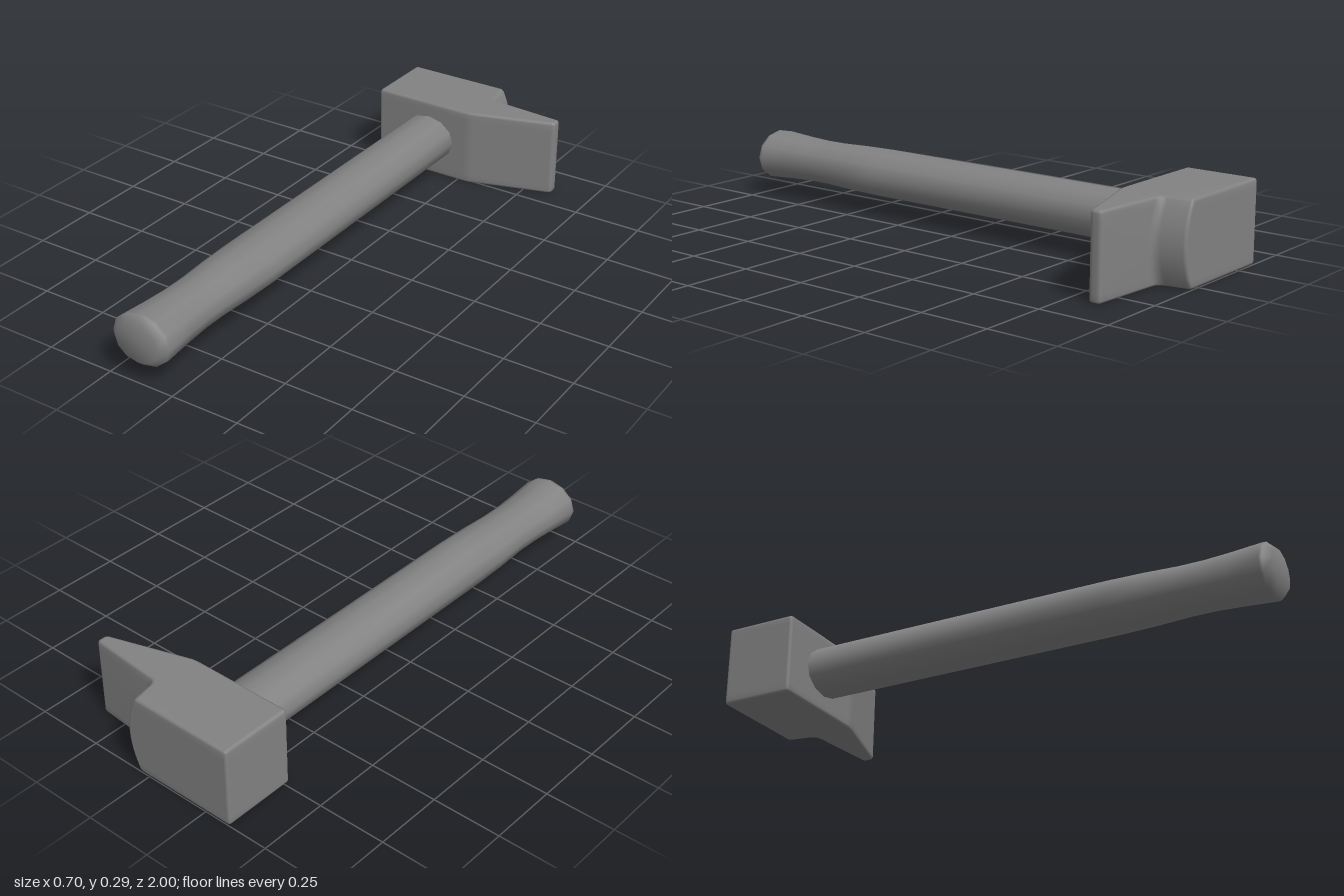
import * as THREE from 'three';
import { mergeVertices } from 'three/addons/utils/BufferGeometryUtils.js';

const HEIGHT = 0.292;
const BEVEL = 0.01;

// Smooth normals weighted by face area, so broad faces stay flat and bevels blend
function smooth(geometry) {
  geometry.deleteAttribute('uv');
  geometry.deleteAttribute('normal');
  const merged = mergeVertices(geometry);
  merged.computeVertexNormals();
  return merged;
}

// Closed outline; each corner is [x, y, rounding radius]
function roundedShape(corners) {
  const shape = new THREE.Shape();
  const n = corners.length;
  const at = (i) => new THREE.Vector2(...corners[(i + n) % n].slice(0, 2));
  corners.forEach(([x, y, r], i) => {
    const p = new THREE.Vector2(x, y);
    const a = at(i - 1).sub(p).setLength(r).add(p);
    const b = at(i + 1).sub(p).setLength(r).add(p);
    if (i === 0) shape.moveTo(a.x, a.y);
    else shape.lineTo(a.x, a.y);
    shape.quadraticCurveTo(x, y, b.x, b.y);
  });
  shape.closePath();
  return shape;
}

// Head: block and wedge outline seen from above, extruded upwards
function headGeometry() {
  const shape = roundedShape([
    [-0.352, 0.731, 0.011],
    [0.043, 0.731, 0.02],
    [0.353, 0.828, 0.013],
    [0.353, 0.869, 0.013],
    [0.06, 0.892, 0.025],
    [0.04, 1, 0.011],
    [-0.352, 1, 0.011],
  ]);
  const geo = new THREE.ExtrudeGeometry(shape, {
    depth: HEIGHT - 2 * BEVEL, steps: 12, curveSegments: 3,
    bevelThickness: BEVEL, bevelSize: BEVEL, bevelOffset: -BEVEL, bevelSegments: 2,
  });
  geo.rotateX(-Math.PI / 2).translate(0, BEVEL, 0);

  // Bow the shoulder outwards at mid height
  const pos = geo.attributes.position;
  for (let i = 0; i < pos.count; i++) {
    const x = pos.getX(i);
    if (x > 0 && x < 0.12 && pos.getZ(i) < -0.86) {
      const t = (pos.getY(i) / HEIGHT) * 2 - 1;
      pos.setX(i, x + 0.04 * (1 - t * t));
    }
  }
  return smooth(geo);
}

// Handle: oval twelve-sided shaft with a waist and a flared, chamfered grip end
function handleGeometry() {
  const profile = [
    [0.108, -0.78], [0.108, 0.42], [0.105, 0.55], [0.099, 0.67],
    [0.099, 0.76], [0.104, 0.85], [0.1135, 0.965], [0.1125, 0.976],
    [0.085, 1], [0, 1],
  ].map(([r, z]) => new THREE.Vector2(r, z));
  const geo = new THREE.LatheGeometry(profile, 12);
  geo.rotateX(Math.PI / 2).scale(1, 0.815, 1).translate(-0.133, 0.147, 0);
  return smooth(geo);
}

export function createModel() {
  const group = new THREE.Group();
  group.name = 'hammer';
  const material = new THREE.MeshStandardMaterial({ color: 0x828282 });
  const parts = { head: headGeometry(), handle: handleGeometry() };
  for (const [name, geometry] of Object.entries(parts)) {
    const mesh = new THREE.Mesh(geometry, material);
    mesh.name = name;
    group.add(mesh);
  }
  return group;
}
